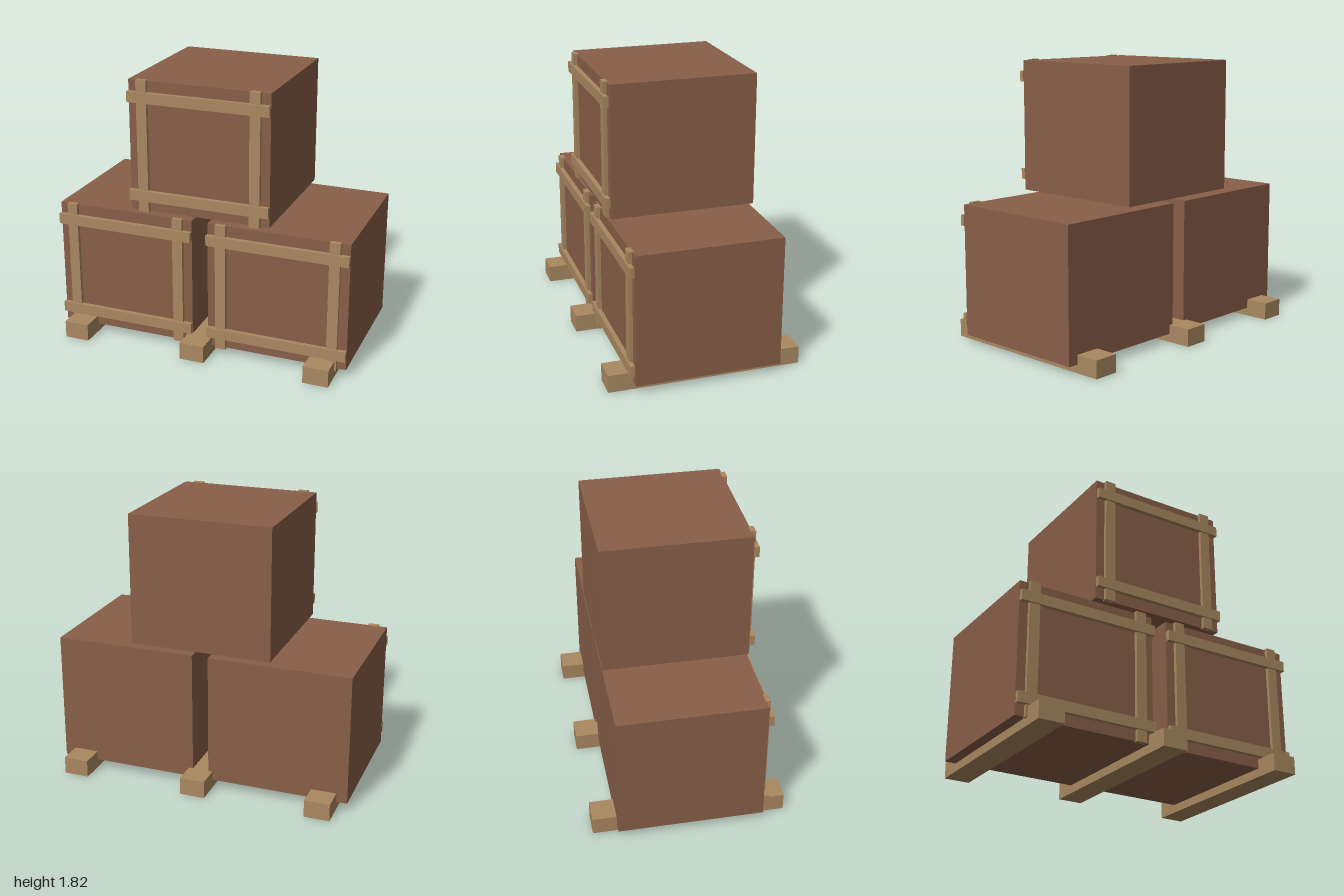
import * as THREE from 'three';

const crateMat = new THREE.MeshStandardMaterial({ color: 0x885f48 });
const slatMat = new THREE.MeshStandardMaterial({ color: 0xa98860 });

function box(name, mat, w, h, d, x, y, z) {
  const mesh = new THREE.Mesh(new THREE.BoxGeometry(w, h, d), mat);
  mesh.name = name;
  mesh.position.set(x, y, z);
  return mesh;
}

// Crate with a frame of slats on its front, centred on its own origin
function crate(name, x, y) {
  const g = new THREE.Group();
  g.name = name;
  g.position.set(x, y, 0);
  g.add(box('crateBody', crateMat, 0.945, 0.864, 0.95, 0, 0, 0));
  for (const s of [-1, 1]) {
    g.add(box('uprightSlat', slatMat, 0.07, 0.874, 0.034, s * 0.378, 0, 0.482));
    g.add(box('crossSlat', slatMat, 0.946, 0.07, 0.03, 0, s * 0.326, 0.495));
  }
  return g;
}

export function createModel() {
  const model = new THREE.Group();
  model.name = 'crateStack';

  // Two crates side by side with a third on top
  model.add(crate('leftCrate', 0.527, 0.488));
  model.add(crate('rightCrate', -0.527, 0.488));
  model.add(crate('topCrate', 0, 1.383));

  // Skids running front to back, let into the crate bottoms
  for (const x of [-0.844, 0, 0.844]) {
    model.add(box('skid', slatMat, 0.168, 0.116, 1.264, x, 0.058, 0));
  }
  return model;
}
